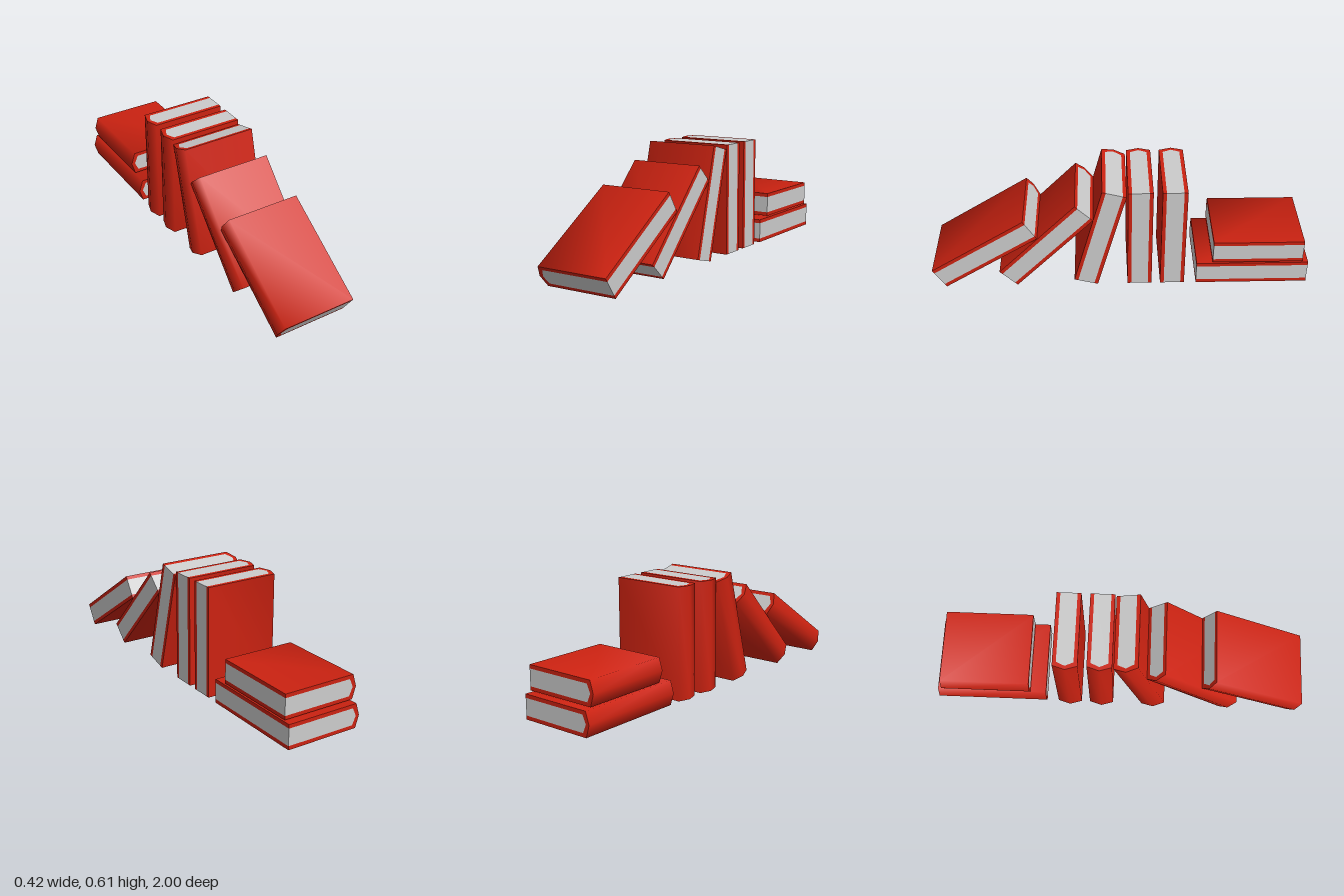
import * as THREE from 'three';
import { toCreasedNormals } from 'three/addons/utils/BufferGeometryUtils.js';

const WIDTH = 0.42, THICK = 0.129, BOARD = 0.02, SPINE = 0.02;

const coverMat = new THREE.MeshStandardMaterial({ color: 0xcc2211 });
const pageMat = new THREE.MeshStandardMaterial({ color: 0xcccccc });

// Extrude a book cross-section along its height, centred and standing upright
function upright(points, height, crease) {
  const shape = new THREE.Shape(points.map(([x, y]) => new THREE.Vector2(x, y)));
  const geo = new THREE.ExtrudeGeometry(shape, { depth: height, bevelEnabled: false });
  geo.translate(0, 0, -height / 2);
  geo.rotateX(Math.PI / 2);
  return toCreasedNormals(geo, crease);
}

// One book: a wrap-around cover with a pointed spine, and the page block inside it
function makeBook(height) {
  const w = WIDTH / 2, t = THICK / 2, p = t - BOARD;
  const inner = [[w, -p], [w, p], [-w + SPINE + BOARD, p], [-w + BOARD, 0], [-w + SPINE + BOARD, -p]];
  const cover = [
    [w, t], [-w + SPINE, t], [-w, 0], [-w + SPINE, -t], [w, -t],
    [w, -p], [-w + SPINE + BOARD, -p], [-w + BOARD, 0], [-w + SPINE + BOARD, p], [w, p],
  ];
  const book = new THREE.Group();
  // Crease below 90 degrees: boards blend softly into the spine, ends stay sharp
  const coverMesh = new THREE.Mesh(upright(cover, height, 1.4), coverMat);
  coverMesh.name = 'cover';
  const pages = new THREE.Mesh(upright(inner, height, 0.3), pageMat);
  pages.name = 'pages';
  book.add(coverMesh, pages);
  return book;
}

export function createModel() {
  const group = new THREE.Group();
  group.name = 'bookRow';
  // name, height, centre y, centre z, lean towards the back in degrees
  const books = [
    ['leaningBookFront', 0.59, 0.215, 0.717, 57.5],
    ['leaningBookMiddle', 0.59, 0.265, 0.392, 44],
    ['leaningBookBack', 0.59, 0.307, 0.107, 15],
    ['uprightBookFront', 0.59, 0.304, -0.103, 0],
    ['uprightBookBack', 0.59, 0.304, -0.278, 0],
    ['lyingBookBottom', 0.594, 0.072, -0.703, 90],
    ['lyingBookTop', 0.477, 0.21, -0.729, 90],
  ];
  for (const [name, height, y, z, lean] of books) {
    const book = makeBook(height);
    book.name = name;
    book.position.set(0, y, z);
    book.rotation.x = -THREE.MathUtils.degToRad(lean);
    group.add(book);
  }
  return group;
}
